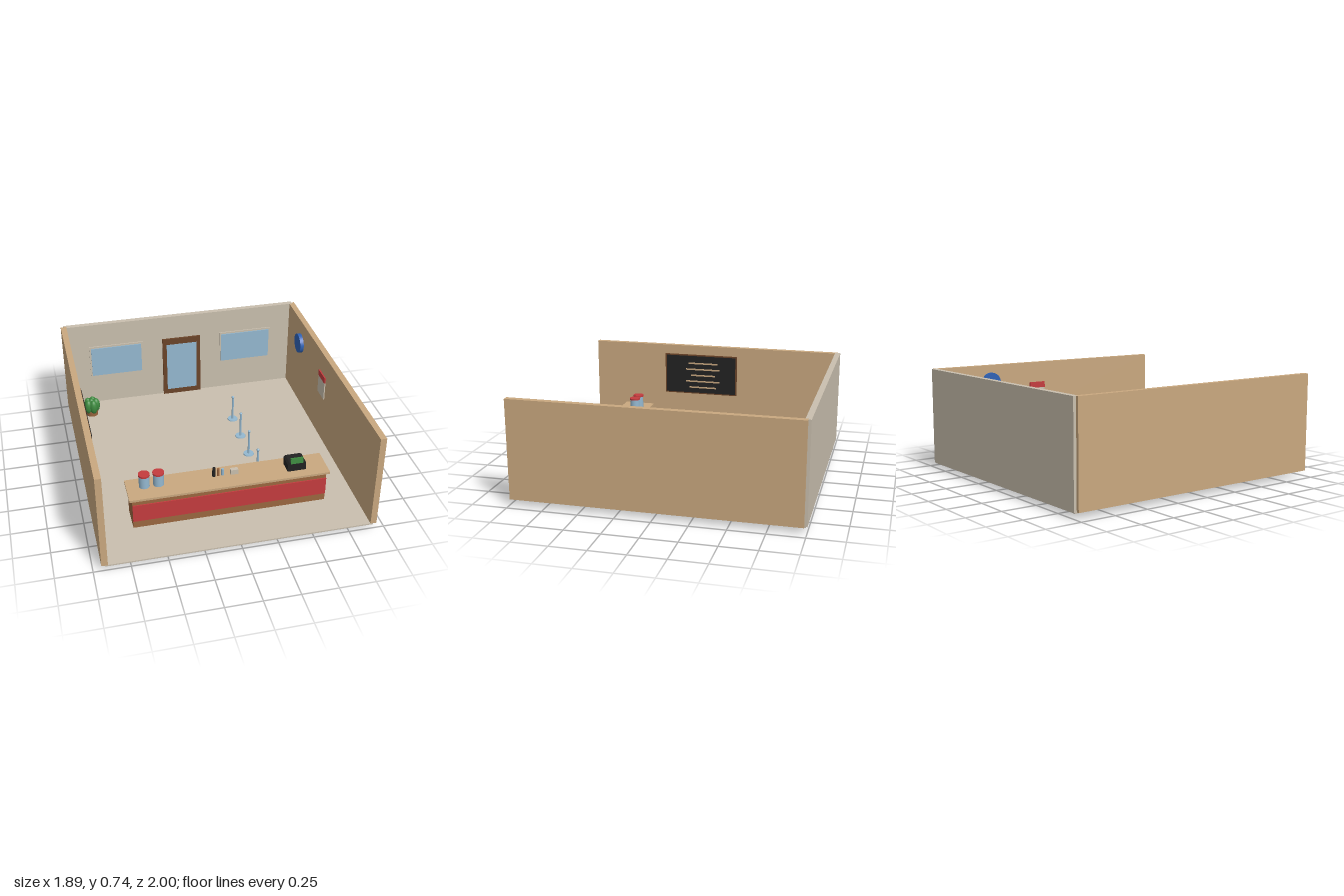
import * as THREE from 'three';

const mat = (name, color) => new THREE.MeshStandardMaterial({ name, color });

export function createModel() {
  const group = new THREE.Group();
  group.name = 'shopInterior';
  const M = {
    tan: mat('tan', 0xc9a87f),
    plaster: mat('plaster', 0xc9bfae),
    wood: mat('wood', 0x9b6740),
    darkWood: mat('darkWood', 0x6b4429),
    red: mat('red', 0xc43c3e),
    glass: mat('paleBlue', 0x94b8d0),
    black: mat('black', 0x222222),
    green: mat('green', 0x3d8a3f),
    blue: mat('blue', 0x2f62b5),
  };
  const add = (name, geo, material, x = 0, y = 0, z = 0) => {
    const m = new THREE.Mesh(geo, material);
    m.name = name;
    m.position.set(x, y, z);
    group.add(m);
    return m;
  };
  // Box given by its limits on each axis
  const box = (name, material, x0, x1, y0, y1, z0, z1) =>
    add(name, new THREE.BoxGeometry(x1 - x0, y1 - y0, z1 - z0), material,
      (x0 + x1) / 2, (y0 + y1) / 2, (z0 + z1) / 2);
  // Upright cylinder given by its bottom and top
  const cyl = (name, material, rTop, rBottom, x, y0, y1, z, sides = 24) =>
    add(name, new THREE.CylinderGeometry(rTop, rBottom, y1 - y0, sides), material, x, (y0 + y1) / 2, z);

  // Room shell, open at the front and top
  box('floor', M.plaster, -0.92, 0.92, 0.032, 0.042, -0.99, 1);
  box('backWall', M.plaster, -0.923, 0.923, 0.04, 0.742, -1, -0.96);
  for (const s of [-1, 1]) {
    const name = s > 0 ? 'leftWall' : 'rightWall';
    add(name, new THREE.BoxGeometry(0.043, 0.702, 1.98), M.tan, s * 0.9225, 0.391, 0.01);
  }

  // Windows and door on the back wall
  for (const x of [-0.528, 0.528]) {
    box('windowFrame', M.plaster, x - 0.213, x + 0.213, 0.283, 0.552, -0.962, -0.951);
    box('windowGlass', M.glass, x - 0.2, x + 0.2, 0.296, 0.538, -0.955, -0.943);
  }
  box('door', M.darkWood, -0.154, 0.154, 0.042, 0.55, -0.962, -0.944);
  box('doorGlass', M.glass, -0.122, 0.122, 0.085, 0.5, -0.946, -0.942);

  // Menu board with plain chalk strips
  box('menuFrame', M.darkWood, -0.902, -0.891, 0.345, 0.67, -0.18, 0.415);
  box('menuBoard', M.black, -0.893, -0.886, 0.355, 0.66, -0.168, 0.403);
  [0.24, 0.28, 0.2, 0.28, 0.22].forEach((w, i) => {
    const y = 0.6 - i * 0.05;
    box('chalkStrip', M.tan, -0.887, -0.883, y - 0.006, y + 0.006, 0.1 - w / 2, 0.1 + w / 2);
  });

  // Round sign and calendar by the opposite wall
  const sign = add('roundSign', new THREE.CylinderGeometry(0.075, 0.075, 0.028, 32), M.blue, 0.854, 0.615, -0.54);
  sign.rotation.z = Math.PI / 2;
  box('calendarPage', M.plaster, 0.893, 0.902, 0.4, 0.542, -0.17, -0.035);
  box('calendarHeader', M.red, 0.891, 0.902, 0.54, 0.585, -0.17, -0.035);

  // Counter
  box('counterBody', M.wood, -0.68, 0.68, 0.042, 0.277, 0.485, 0.675);
  box('counterPanel', M.red, -0.68, 0.68, 0.1, 0.233, 0.674, 0.683);
  box('counterTop', M.tan, -0.7, 0.7, 0.276, 0.292, 0.465, 0.695);

  // Jars with lids
  for (const x of [-0.575, -0.477]) {
    cyl('jar', M.glass, 0.037, 0.037, x, 0.292, 0.382, 0.555);
    cyl('jarLid', M.red, 0.04, 0.04, x, 0.381, 0.394, 0.555);
  }

  // Condiments and napkin box
  cyl('blackBottle', M.black, 0.011, 0.012, -0.092, 0.292, 0.36, 0.555, 12);
  cyl('brownBottle', M.wood, 0.01, 0.01, -0.061, 0.292, 0.348, 0.555, 12);
  cyl('shaker', M.glass, 0.01, 0.01, -0.03, 0.292, 0.342, 0.555, 12);
  box('napkinBox', M.plaster, 0.025, 0.078, 0.291, 0.329, 0.54, 0.57);

  // Cash register: bevelled block with a screen at the front
  const outline = new THREE.Shape([[-0.066, 0], [0.066, 0], [0.066, 0.058], [0.054, 0.071],
    [-0.054, 0.071], [-0.066, 0.058]].map(p => new THREE.Vector2(...p)));
  add('register', new THREE.ExtrudeGeometry(outline, { depth: 0.1, bevelEnabled: false }), M.black, 0.48, 0.291, 0.525);
  const screen = box('registerScreen', M.green, 0.436, 0.525, 0.352, 0.394, 0.612, 0.626);
  screen.rotation.x = -0.1;

  // Queue posts
  for (const z of [-0.455, -0.213, 0.028, 0.27]) {
    cyl('postBase', M.glass, 0.038, 0.04, 0.305, 0.042, 0.05, z);
    cyl('post', M.glass, 0.008, 0.008, 0.305, 0.05, 0.245, z, 12);
    add('postCap', new THREE.SphereGeometry(0.011, 12, 8), M.glass, 0.305, 0.246, z);
  }

  // Potted plant
  cyl('plantPot', M.wood, 0.047, 0.043, -0.77, 0, 0.085, -0.785);
  for (let i = 0; i < 6; i++) {
    const a = i * Math.PI * 2 / 5, r = i < 5 ? 0.034 : 0;
    const leaf = add('leaf', new THREE.SphereGeometry(0.031, 16, 12), M.green,
      -0.77 + r * Math.cos(a), 0.123 + (i < 5 ? 0 : 0.004), -0.785 + r * Math.sin(a));
    leaf.scale.y = 1.9;
  }
  return group;
}
